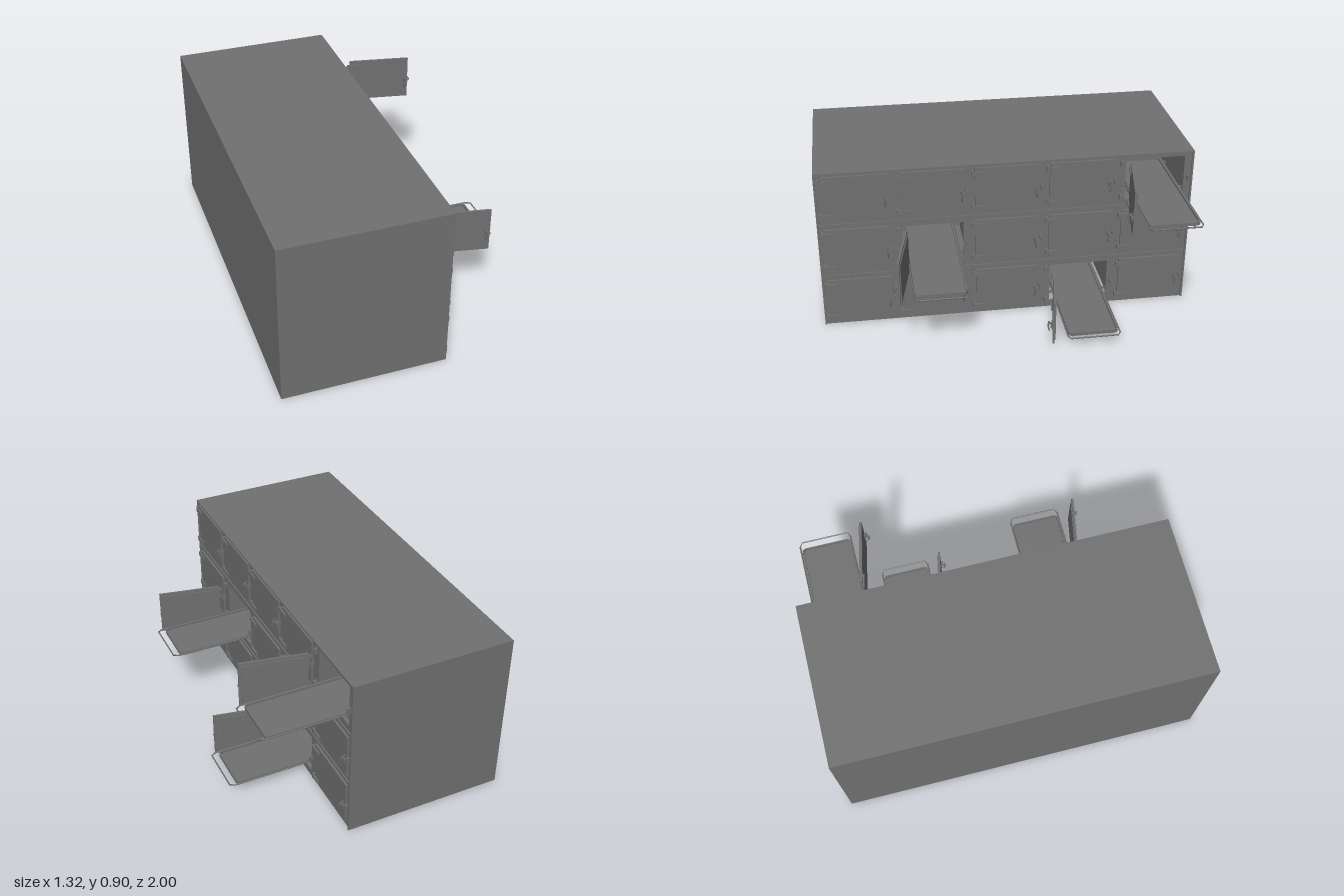
import * as THREE from 'three';

const steel = new THREE.MeshStandardMaterial({ color: 0x707070, side: THREE.DoubleSide });
steel.name = 'grey steel';

const COLS = 5, ROWS = 3, PITCH_Z = 0.396, PITCH_Y = 0.305;
const BACK = -0.66, FRONT = 0.212, TOP = 0.905;
const OPEN_CELLS = ['0,3', '1,1', '2,4']; // row,column

// Box given by its limits on each axis
function box(parent, name, x0, x1, y0, y1, z0, z1) {
  const mesh = new THREE.Mesh(new THREE.BoxGeometry(x1 - x0, y1 - y0, z1 - z0), steel);
  mesh.position.set((x0 + x1) / 2, (y0 + y1) / 2, (z0 + z1) / 2);
  mesh.name = name;
  parent.add(mesh);
  return mesh;
}

function rod(parent, name, points, radius) {
  const path = new THREE.CurvePath();
  for (let i = 1; i < points.length; i++) {
    path.add(new THREE.LineCurve3(new THREE.Vector3(...points[i - 1]), new THREE.Vector3(...points[i])));
  }
  const mesh = new THREE.Mesh(new THREE.TubeGeometry(path, 60, radius, 6), steel);
  mesh.name = name;
  parent.add(mesh);
}

// Rectangle with rounded corners, used for the tray pan and its rim
function roundedRect(Kind, x0, x1, w, r) {
  const s = new Kind(), h = w / 2;
  s.moveTo(x0 + r, -h);
  s.lineTo(x1 - r, -h);
  s.quadraticCurveTo(x1, -h, x1, -h + r);
  s.lineTo(x1, h - r);
  s.quadraticCurveTo(x1, h, x1 - r, h);
  s.lineTo(x0 + r, h);
  s.quadraticCurveTo(x0, h, x0, h - r);
  s.lineTo(x0, -h + r);
  s.quadraticCurveTo(x0, -h, x0 + r, -h);
  return s;
}

function slab(parent, name, shape, y, depth) {
  const geo = new THREE.ExtrudeGeometry(shape, { depth, bevelEnabled: false, curveSegments: 4 });
  geo.rotateX(-Math.PI / 2);
  const mesh = new THREE.Mesh(geo, steel);
  mesh.position.y = y;
  mesh.name = name;
  parent.add(mesh);
}

// Outer shell, open underneath, with a pierced front plate
function makeCabinet() {
  const g = new THREE.Group();
  g.name = 'cabinet';
  box(g, 'roof', BACK, FRONT, TOP - 0.01, TOP, -1, 1);
  box(g, 'backPanel', BACK, BACK + 0.01, 0, TOP - 0.01, -1, 1);
  for (const s of [-1, 1]) {
    box(g, 'sidePanel', BACK + 0.01, FRONT, 0, TOP - 0.01, s * 0.995 - 0.005, s * 0.995 + 0.005);
  }
  const face = new THREE.Shape();
  face.moveTo(-0.99, 0);
  face.lineTo(0.99, 0);
  face.lineTo(0.99, TOP - 0.01);
  face.lineTo(-0.99, TOP - 0.01);
  face.closePath();
  for (let r = 0; r < ROWS; r++) {
    for (let c = 0; c < COLS; c++) {
      const z = 0.792 - c * PITCH_Z, y = r * PITCH_Y;
      const hole = new THREE.Path();
      hole.moveTo(-z - 0.16, y + 0.035);
      hole.lineTo(-z - 0.16, y + 0.265);
      hole.lineTo(-z + 0.16, y + 0.265);
      hole.lineTo(-z + 0.16, y + 0.035);
      hole.closePath();
      face.holes.push(hole);
    }
  }
  const geo = new THREE.ExtrudeGeometry(face, { depth: 0.015, bevelEnabled: false });
  geo.rotateY(Math.PI / 2);
  const plate = new THREE.Mesh(geo, steel);
  plate.position.x = 0.188;
  plate.name = 'frontPlate';
  g.add(plate);
  // Inner partitions, shelves and seam strips
  for (let c = 1; c < COLS; c++) {
    const z = 0.99 - c * PITCH_Z;
    box(g, 'partition', BACK + 0.01, 0.188, 0.01, TOP - 0.01, z - 0.012, z + 0.012);
  }
  for (let r = 1; r < ROWS; r++) {
    const y = r * PITCH_Y - 0.003;
    box(g, 'shelf', BACK + 0.01, 0.188, y - 0.005, y + 0.005, -0.99, 0.99);
    box(g, 'seamStrip', 0.2, 0.21, y - 0.004, y + 0.004, -0.99, 0.99);
  }
  return g;
}

// Door with its origin on the hinge edge, spreading toward -z
function makeDoor() {
  const g = new THREE.Group();
  g.name = 'door';
  box(g, 'doorPanel', -0.012, 0, 0.027, 0.275, -0.344, 0);
  box(g, 'doorLiner', -0.017, -0.012, 0.04, 0.26, -0.33, -0.014);
  for (const y of [0.052, 0.247]) {
    box(g, 'hingeArm', 0, 0.009, y - 0.009, y + 0.009, -0.052, 0.018);
  }
  // Latch handle
  box(g, 'latchPlate', 0, 0.006, 0.105, 0.155, -0.328, -0.316);
  box(g, 'latchPost', 0.006, 0.022, 0.136, 0.146, -0.327, -0.317);
  rod(g, 'latchLever', [[0.022, 0.152, -0.322], [0.024, 0.12, -0.322], [0.016, 0.095, -0.322]], 0.004);
  box(g, 'latchBolt', 0.004, 0.012, 0.128, 0.138, -0.346, -0.322);
  return g;
}

// Sliding tray with rim, carrying frame and pull handle
function makeTray() {
  const g = new THREE.Group();
  g.name = 'tray';
  slab(g, 'trayPan', roundedRect(THREE.Shape, -0.62, 0.165, 0.264, 0.025), 0.072, 0.006);
  const rim = roundedRect(THREE.Shape, -0.62, 0.165, 0.268, 0.025);
  rim.holes.push(roundedRect(THREE.Path, -0.612, 0.157, 0.252, 0.02));
  slab(g, 'trayRim', rim, 0.074, 0.016);
  rod(g, 'pullHandle', [[-0.6, 0.084, 0.139], [0.195, 0.084, 0.139], [0.204, 0.084, 0.13],
    [0.204, 0.084, -0.13], [0.195, 0.084, -0.139], [-0.6, 0.084, -0.139]], 0.004);
  for (const s of [-1, 1]) {
    box(g, 'trayRunner', -0.6, 0.15, 0.06, 0.072, s * 0.105 - 0.007, s * 0.105 + 0.007);
  }
  for (const x of [-0.5, -0.23, 0.04]) {
    box(g, 'trayCrossbar', x - 0.008, x + 0.008, 0.062, 0.072, -0.1, 0.1);
  }
  return g;
}

export function createModel() {
  const model = new THREE.Group();
  model.name = 'coldStorageCabinet';
  model.add(makeCabinet());
  for (let r = 0; r < ROWS; r++) {
    for (let c = 0; c < COLS; c++) {
      const open = OPEN_CELLS.includes(r + ',' + c);
      const cell = new THREE.Group();
      cell.name = 'compartment';
      cell.position.set(0, r * PITCH_Y, 0.792 - c * PITCH_Z);
      const door = makeDoor();
      if (open) {
        door.position.set(0.268, 0, 0.152);
        door.rotation.y = THREE.MathUtils.degToRad(-101);
      } else {
        door.position.set(0.215, 0, 0.172);
      }
      cell.add(door);
      const tray = makeTray();
      tray.position.x = open ? 0.452 : 0;
      cell.add(tray);
      // Fixed rails and their cross members
      for (const s of [-1, 1]) {
        box(cell, 'fixedRail', -0.64, 0.188, 0.045, 0.059, s * 0.115 - 0.01, s * 0.115 + 0.01);
      }
      for (const x of [-0.55, -0.2, 0.12]) {
        box(cell, 'railSupport', x - 0.008, x + 0.008, 0.036, 0.045, -0.184, 0.184);
      }
      // Hinge knuckles and latch catch on the front plate
      for (const y of [0.052, 0.247]) {
        box(cell, 'hingeBlock', 0.203, 0.224, y - 0.015, y + 0.015, 0.176, 0.19);
      }
      box(cell, 'latchCatch', 0.203, 0.226, 0.125, 0.155, -0.184, -0.176);
      model.add(cell);
    }
  }
  return model;
}
